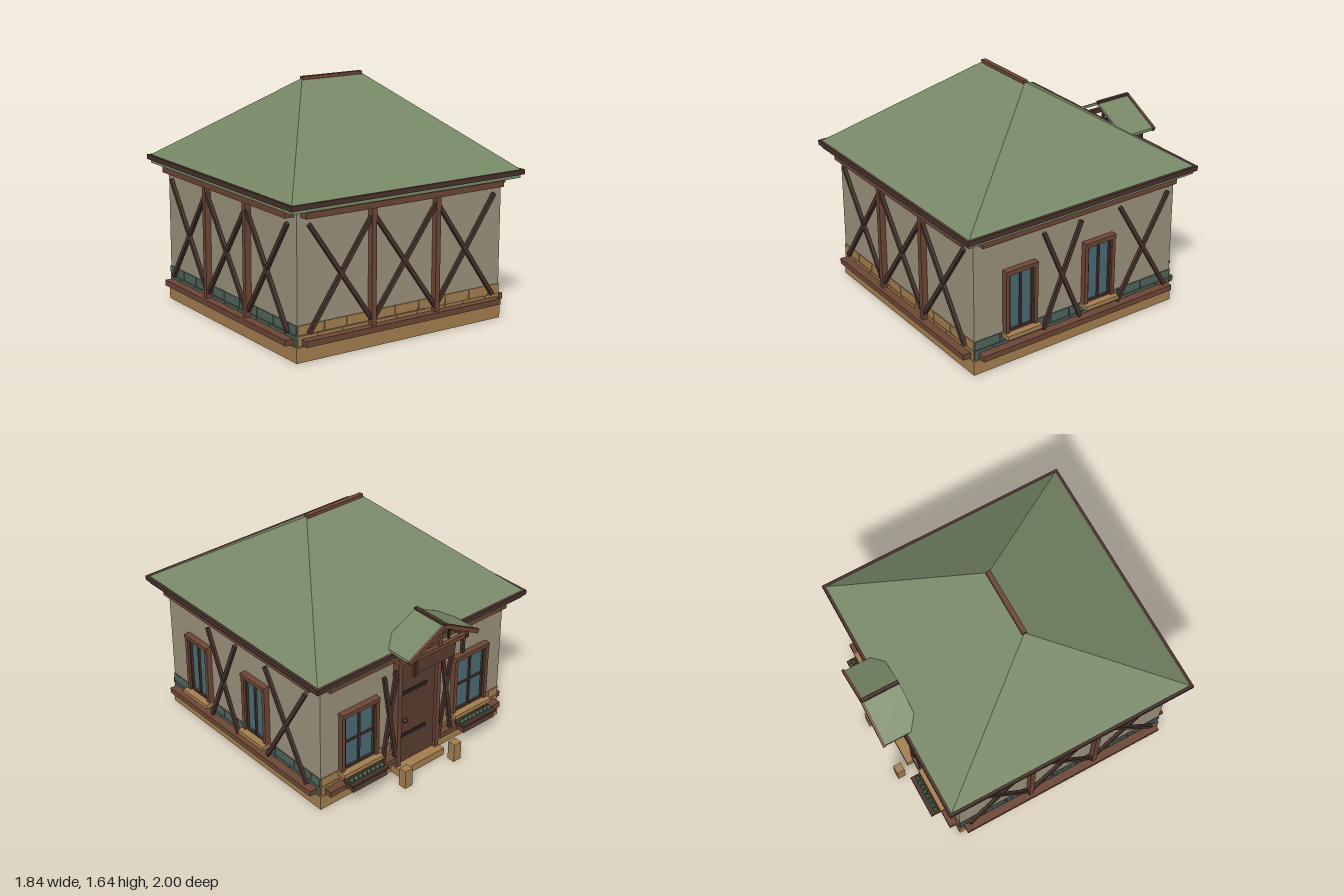
import * as THREE from 'three';

const mat = (name, color) => Object.assign(new THREE.MeshStandardMaterial({ color }), { name });

export function createModel() {
  const M = {
    plaster: mat('plaster', 0x9a917b),
    roof: mat('green roof', 0x778866),
    stone: mat('tan stone', 0xa37d4f),
    teal: mat('teal stone', 0x50635a),
    wood: mat('brown timber', 0x6b4635),
    dark: mat('dark timber', 0x46312b),
    glass: mat('window glass', 0x4a6a74),
    door: mat('door wood', 0x593d2f),
    iron: mat('black iron', 0x2a2422),
    leaf: mat('leaves', 0x4f7350),
  };
  const model = new THREE.Group();
  model.name = 'house';
  const house = new THREE.Group();
  house.name = 'cottage';
  house.position.z = 0.08;
  model.add(house);

  const add = (parent, name, geo, material, x = 0, y = 0, z = 0) => {
    const m = new THREE.Mesh(geo, material);
    m.name = name;
    m.position.set(x, y, z);
    parent.add(m);
    return m;
  };
  // Box given by its limits on each axis
  const box = (parent, name, material, x0, x1, y0, y1, z0, z1) =>
    add(parent, name, new THREE.BoxGeometry(x1 - x0, y1 - y0, z1 - z0), material,
      (x0 + x1) / 2, (y0 + y1) / 2, (z0 + z1) / 2);
  // Slanted bar between two points in the wall plane
  const strut = (parent, name, material, x0, y0, x1, y1, width, z0, z1) => {
    const m = add(parent, name, new THREE.BoxGeometry(Math.hypot(x1 - x0, y1 - y0), width, z1 - z0),
      material, (x0 + x1) / 2, (y0 + y1) / 2, (z0 + z1) / 2);
    m.rotation.z = Math.atan2(y1 - y0, x1 - x0);
  };
  const cross = (parent, x, half, y0, y1, z) => {
    strut(parent, 'crossBrace', M.dark, x - half, y0, x + half, y1, 0.027, z, z + 0.022);
    strut(parent, 'crossBrace', M.dark, x - half, y1, x + half, y0, 0.027, z + 0.003, z + 0.025);
  };
  // Each wall is built facing +z, then turned into place
  const wallGroup = (name, angle) => {
    const g = new THREE.Group();
    g.name = name;
    g.rotation.y = angle;
    house.add(g);
    return g;
  };

  // Plinth and walls
  box(house, 'plinth', M.stone, -0.82, 0.82, 0, 0.1, -0.82, 0.82);
  box(house, 'walls', M.plaster, -0.81, 0.81, 0.1, 0.98, -0.81, 0.81);

  // Two courses of stones with narrow joints, optionally leaving a doorway
  const stones = (g, material, gap = 0) => {
    const widths = [0.2, 0.17, 0.23, 0.15, 0.19, 0.22];
    [[0.105, 0.172, 3], [0.178, 0.24, 0]].forEach(([y0, y1, start]) => {
      let x = -0.812;
      for (let i = start; x < 0.8; i++) {
        let end = Math.min(x + widths[i % 6], 0.812);
        if (0.812 - end < 0.06) end = 0.812;
        const a = x + 0.003, b = end - 0.003;
        if (!gap || b < -gap || a > gap) box(g, 'stone', material, a, b, y0, y1, 0.8, 0.817);
        else {
          if (a < -gap) box(g, 'stone', material, a, -gap, y0, y1, 0.8, 0.817);
          if (b > gap) box(g, 'stone', material, gap, b, y0, y1, 0.8, 0.817);
        }
        x = end;
      }
    });
  };

  // Framed window with sill and glazing bars
  const makeWindow = (g, x, w, rows) => {
    const h = w / 2, y0 = 0.24, y1 = 0.69;
    const win = new THREE.Group();
    win.name = 'window';
    win.position.x = x;
    g.add(win);
    box(win, 'glass', M.glass, -h + 0.02, h - 0.02, y0, y1 - 0.02, 0.812, 0.82);
    for (const s of [-1, 1]) {
      add(win, 'jamb', new THREE.BoxGeometry(0.028, y1 - y0, 0.04), M.wood, s * (h - 0.014), (y0 + y1) / 2, 0.83);
      add(win, 'sash', new THREE.BoxGeometry(0.014, y1 - y0 - 0.03, 0.022), M.dark, s * (h - 0.034), (y0 + y1) / 2, 0.825);
    }
    box(win, 'head', M.wood, -h, h, y1 - 0.03, y1, 0.81, 0.856);
    box(win, 'topSash', M.dark, -h + 0.028, h - 0.028, y1 - 0.043, y1 - 0.03, 0.812, 0.836);
    box(win, 'bottomSash', M.dark, -h + 0.028, h - 0.028, y0, y0 + 0.016, 0.812, 0.836);
    box(win, 'mullion', M.dark, -0.007, 0.007, y0, y1 - 0.03, 0.812, 0.834);
    for (let i = 1; i < rows; i++) {
      const y = y0 + (y1 - 0.03 - y0) * i / rows;
      box(win, 'glazingBar', M.dark, -h + 0.028, h - 0.028, y - 0.007, y + 0.007, 0.812, 0.832);
    }
    box(win, 'sill', M.stone, -h - 0.01, h + 0.01, 0.21, 0.24, 0.8, 0.885);
  };

  const topBeam = (g) => box(g, 'topBeam', M.wood, -0.78, 0.78, 0.925, 0.965, 0.81, 0.875);
  const bottomBeam = (g, x0, x1) => box(g, 'bottomBeam', M.wood, x0, x1, 0.112, 0.152, 0.81, 0.875);

  // Front and left-hand timbered walls
  for (const [name, angle, stone] of [['frontWall', 0, M.stone], ['timberedSideWall', -Math.PI / 2, M.teal]]) {
    const g = wallGroup(name, angle);
    stones(g, stone);
    topBeam(g);
    bottomBeam(g, -0.78, 0.78);
    for (const s of [-1, 1]) {
      box(g, 'post', M.wood, s * 0.255 - 0.018, s * 0.255 + 0.018, 0.15, 0.926, 0.81, 0.852);
      cross(g, s * 0.495, 0.24, 0.185, 0.88, 0.82);
    }
    cross(g, 0, 0.25, 0.185, 0.88, 0.82);
  }

  // Side wall with two windows and two crosses
  const side = wallGroup('windowSideWall', Math.PI / 2);
  stones(side, M.teal);
  topBeam(side);
  bottomBeam(side, -0.78, 0.78);
  makeWindow(side, -0.465, 0.25, 1);
  makeWindow(side, 0.165, 0.25, 1);
  cross(side, -0.152, 0.15, 0.175, 0.88, 0.842);
  cross(side, 0.518, 0.205, 0.175, 0.88, 0.842);

  // Entrance wall
  const entry = wallGroup('entranceWall', Math.PI);
  stones(entry, M.stone, 0.19);
  topBeam(entry);
  box(entry, 'door', M.door, -0.16, 0.16, 0.06, 0.87, 0.81, 0.842);
  box(entry, 'doorHead', M.wood, -0.19, 0.19, 0.865, 0.905, 0.81, 0.87);
  for (const y of [0.28, 0.62]) box(entry, 'hingeStrap', M.iron, -0.15, 0.08, y - 0.012, y + 0.012, 0.84, 0.85);
  add(entry, 'doorKnob', new THREE.SphereGeometry(0.018, 12, 8), M.iron, -0.115, 0.4, 0.855);
  box(entry, 'step', M.stone, -0.2, 0.2, 0, 0.055, 0.81, 0.915);
  for (const s of [-1, 1]) {
    box(entry, 'doorPost', M.wood, s * 0.175 - 0.017, s * 0.175 + 0.017, 0, 0.87, 0.81, 0.865);
    cross(entry, s * 0.255, 0.055, 0.15, 0.83, 0.84);
    bottomBeam(entry, s < 0 ? -0.78 : 0.2, s < 0 ? -0.2 : 0.78);
    makeWindow(entry, s * 0.5, 0.32, 2);
    box(entry, 'bollard', M.stone, s * 0.225 - 0.032, s * 0.225 + 0.032, 0, 0.14, 0.96, 1.02);
    // Flower box: tray with rim and a row of plants
    const planter = new THREE.Group();
    planter.name = 'flowerBox';
    planter.position.x = s * 0.5;
    entry.add(planter);
    box(planter, 'tray', M.door, -0.145, 0.145, 0.125, 0.18, 0.865, 0.945);
    box(planter, 'rim', M.dark, -0.16, 0.16, 0.172, 0.188, 0.862, 0.955);
    for (let i = 0; i < 8; i++)
      add(planter, 'plant', new THREE.IcosahedronGeometry(0.02, 0), M.leaf, -0.13 + i * 0.037, 0.198, 0.91);
  }

  // Hipped roof: eave rectangle rising to a short ridge
  box(house, 'eaveSoffit', M.roof, -0.9, 0.9, 0.975, 1.025, -0.9, 0.9);
  const E = 0.91, R = 0.235, yE = 1.025, yR = 1.625;
  const [a, b, c, d] = [[-E, yE, E], [E, yE, E], [E, yE, -E], [-E, yE, -E]];
  const [l, r] = [[-R, yR, 0], [R, yR, 0]];
  const roofGeo = new THREE.BufferGeometry();
  roofGeo.setAttribute('position', new THREE.Float32BufferAttribute(
    [a, b, r, a, r, l, b, c, r, c, d, l, c, l, r, d, a, l].flat(), 3));
  roofGeo.computeVertexNormals();
  add(house, 'hippedRoof', roofGeo, M.roof);
  box(house, 'ridgeCap', M.wood, -0.24, 0.24, 1.612, 1.636, -0.017, 0.017);
  for (let i = 0; i < 4; i++)
    box(wallGroup('eaveTrim', i * Math.PI / 2), 'fascia', M.dark, -0.92, 0.92, 1.0, 1.033, 0.89, 0.92);

  // Porch gable over the door
  const porch = new THREE.Group();
  porch.name = 'porch';
  entry.add(porch);
  const slope = new THREE.Shape([[-0.295, 1.03], [0, 1.185], [0.295, 1.03], [0.295, 1.05], [0, 1.205], [-0.295, 1.05]]
    .map(([x, y]) => new THREE.Vector2(x, y)));
  add(porch, 'porchRoof', new THREE.ExtrudeGeometry(slope, { depth: 0.27, bevelEnabled: false }), M.roof, 0, 0, 0.8);
  box(porch, 'porchRidge', M.dark, -0.013, 0.013, 1.192, 1.213, 0.8, 1.075);
  box(porch, 'tieBeam', M.wood, -0.25, 0.25, 1.005, 1.035, 1.015, 1.045);
  box(porch, 'kingPost', M.wood, -0.013, 0.013, 1.03, 1.185, 1.018, 1.042);
  box(porch, 'blankSign', M.door, -0.175, 0.175, 0.87, 0.985, 0.98, 1.0);
  for (const s of [-1, 1]) {
    strut(porch, 'bargeBoard', M.wood, s * 0.3, 1.037, 0, 1.195, 0.03, 1.06, 1.08);
    box(porch, 'sideBeam', M.dark, s * 0.23 - 0.015, s * 0.23 + 0.015, 1.005, 1.035, 0.82, 1.05);
    box(porch, 'hanger', M.dark, s * 0.21 - 0.011, s * 0.21 + 0.011, 0.89, 1.02, 1.02, 1.042);
    box(porch, 'signStrap', M.iron, s * 0.12 - 0.006, s * 0.12 + 0.006, 0.98, 1.1, 0.985, 0.997);
  }
  return model;
}
